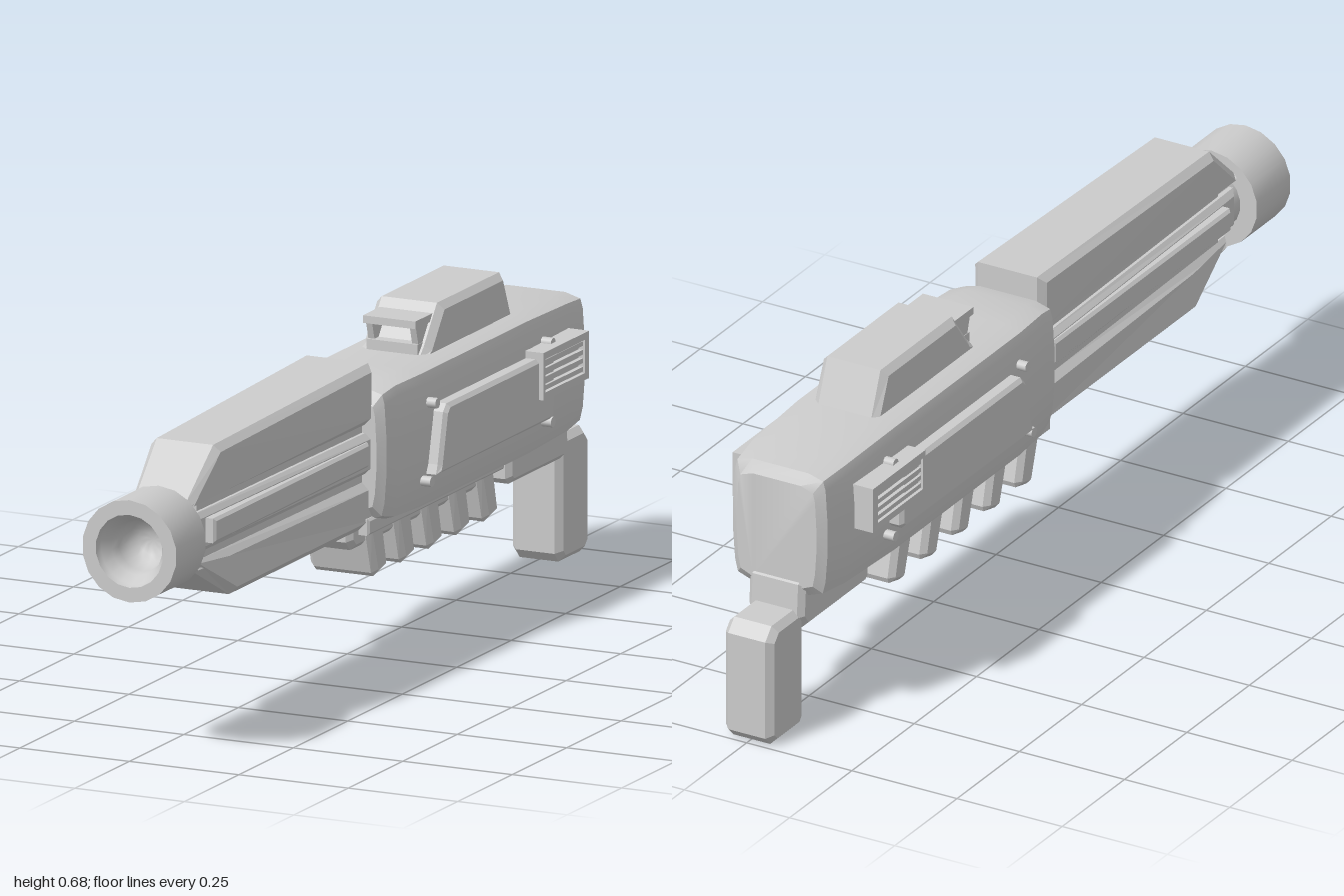
import * as THREE from 'three';
import { toCreasedNormals } from 'three/addons/utils/BufferGeometryUtils.js';

const grey = new THREE.MeshStandardMaterial({ color: 0xcccccc });
grey.name = 'plain grey';

// Side profile of [z, y] points, extruded across x with chamfered cheeks
function slab(profile, half, bevel, hole) {
  const shape = new THREE.Shape(profile.map(([z, y]) => new THREE.Vector2(z, y)));
  if (hole) shape.holes.push(new THREE.Path(hole.map(([z, y]) => new THREE.Vector2(z, y))));
  const depth = 2 * (half - bevel);
  const geo = new THREE.ExtrudeGeometry(shape, {
    depth, bevelEnabled: bevel > 0, bevelThickness: bevel,
    bevelSize: bevel, bevelOffset: -bevel, bevelSegments: 1,
  });
  return geo.translate(0, 0, -depth / 2).rotateY(-Math.PI / 2);
}

const rect = (z0, z1, y0, y1) => [[z0, y0], [z1, y0], [z1, y1], [z0, y1]];

// Closed solid through equal-sized rings of [x, y], ordered from back to front
function loft(sections) {
  const pos = [], index = [], n = sections[0].ring.length;
  sections.forEach(({ z, ring }) => ring.forEach(([x, y]) => pos.push(x, y, z)));
  for (let s = 0; s < sections.length - 1; s++) {
    for (let i = 0; i < n; i++) {
      const a = s * n + i, b = s * n + (i + 1) % n;
      index.push(a, b, b + n, a, b + n, a + n);
    }
  }
  const last = (sections.length - 1) * n;
  for (let i = 1; i < n - 1; i++) index.push(0, i + 1, i, last, last + i, last + i + 1);
  const geo = new THREE.BufferGeometry();
  geo.setAttribute('position', new THREE.Float32BufferAttribute(pos, 3));
  geo.setIndex(index);
  return toCreasedNormals(geo, 0.5);
}

// Narrow a barrel piece toward the muzzle
function narrow(geo) {
  const p = geo.attributes.position;
  for (let i = 0; i < p.count; i++) {
    const t = THREE.MathUtils.clamp((p.getZ(i) - 0.7) / 0.1, 0, 1);
    p.setX(i, p.getX(i) * (1 - 0.18 * t));
  }
  geo.computeVertexNormals();
  return geo;
}

export function createModel() {
  const model = new THREE.Group();
  model.name = 'blaster';
  const add = (name, geo, x = 0, parent = model) => {
    const mesh = new THREE.Mesh(geo, grey);
    mesh.name = name;
    mesh.position.x = x;
    parent.add(mesh);
    return mesh;
  };

  // Receiver: bulging cross-section with pinched ends
  const receiver = [
    [-0.88, 0.095, 0.315, 0.55], [-0.865, 0.112, 0.297, 0.575], [-0.79, 0.122, 0.292, 0.583],
    [-0.6, 0.128, 0.288, 0.59], [-0.1, 0.128, 0.288, 0.59], [0, 0.12, 0.29, 0.588],
    [0.045, 0.112, 0.3, 0.578], [0.062, 0.098, 0.322, 0.555],
  ].map(([z, w, y0, y1]) => {
    const right = [[0.6, y0], [0.9, y0 + 0.012], [0.96, y0 + 0.04], [1, y0 + 0.1],
      [1, y1 - 0.1], [0.96, y1 - 0.03], [0.91, y1 - 0.01], [0.6, y1]].map(([k, y]) => [k * w, y]);
    return { z, ring: [...right, ...right.map(([x, y]) => [-x, y]).reverse()] };
  });
  add('receiver', loft(receiver));

  // Barrel shrouds and inner barrel
  add('upperShroud', narrow(slab(
    [[0.045, 0.505], [0.865, 0.505], [0.855, 0.52], [0.745, 0.617], [0.045, 0.632]], 0.085, 0.015)));
  add('lowerShroud', narrow(slab(
    [[0.03, 0.385], [0.03, 0.285], [0.67, 0.285], [0.83, 0.372], [0.83, 0.385]], 0.08, 0.017)));
  add('innerBarrel', new THREE.CylinderGeometry(0.068, 0.068, 0.88, 18)
    .rotateX(Math.PI / 2).translate(0, 0.443, 0.44));
  add('barrelCore', narrow(slab(rect(0.03, 0.8, 0.37, 0.52), 0.065, 0)));
  add('middleRail', narrow(slab(rect(0.03, 0.85, 0.402, 0.488), 0.084, 0.012)));
  add('railInset', slab(rect(0.08, 0.79, 0.422, 0.474), 0.092, 0.006));

  // Hollow muzzle with a rounded bore end
  const bore = [[0, 0.865], [0.108, 0.865], [0.108, 1], [0.077, 1], [0.073, 0.985], [0.058, 0.965], [0.055, 0.94],
    [0.052, 0.925], [0.044, 0.908], [0.031, 0.896], [0.016, 0.89], [0, 0.888]];
  add('muzzle', toCreasedNormals(new THREE.LatheGeometry(
    bore.map(([r, z]) => new THREE.Vector2(r, z)), 18).rotateX(Math.PI / 2).translate(0, 0.443, 0), 0.7));

  // Sight block with a small hooded window
  add('sightBlock', slab(
    [[-0.2, 0.58], [-0.225, 0.605], [-0.285, 0.683], [-0.57, 0.683], [-0.61, 0.58]], 0.077, 0.014));
  const sight = new THREE.Group();
  sight.name = 'sightHood';
  model.add(sight);
  add('hoodTop', slab(rect(-0.29, -0.192, 0.648, 0.664), 0.06, 0), 0, sight);
  add('hoodBase', slab(rect(-0.28, -0.205, 0.58, 0.612), 0.058, 0), 0, sight);
  for (const s of [-1, 1]) {
    add('hoodSide', slab([[-0.28, 0.6], [-0.215, 0.6], [-0.2, 0.65], [-0.28, 0.65]], 0.007, 0), s * 0.05, sight);
  }

  // Side panels, bolts and vents, mirrored
  for (const s of [-1, 1]) {
    const side = new THREE.Group();
    side.name = s > 0 ? 'leftSide' : 'rightSide';
    model.add(side);
    add('sidePanel', slab([[-0.108, 0.37], [-0.115, 0.39], [-0.14, 0.495], [-0.155, 0.51],
      [-0.63, 0.51], [-0.64, 0.5], [-0.64, 0.38], [-0.63, 0.37]], 0.022, 0.008), s * 0.135, side);
    for (const [z, y] of [[-0.12, 0.518], [-0.095, 0.358], [-0.65, 0.358], [-0.65, 0.525]]) {
      add('bolt', new THREE.CylinderGeometry(0.011, 0.011, 0.05, 10)
        .rotateZ(Math.PI / 2).translate(0, y, z), s * 0.122, side);
    }
    add('ventFrame', slab(rect(-0.775, -0.565, 0.425, 0.525), 0.026, 0,
      rect(-0.755, -0.575, 0.44, 0.51)), s * 0.141, side);
    add('ventBack', slab(rect(-0.76, -0.57, 0.435, 0.515), 0.018, 0), s * 0.135, side);
    for (let i = 0; i < 4; i++) {
      const y = 0.448 + i * 0.018;
      add('ventSlat', slab(rect(-0.757, -0.573, y - 0.005, y + 0.005), 0.01, 0), s * 0.153, side);
    }
  }

  // Ribbed fore grip under the receiver
  add('gripRail', slab([[0.11, 0.3], [0.11, 0.265], [0.09, 0.245], [-0.53, 0.245], [-0.56, 0.3]], 0.063, 0.012));
  add('gripRailLip', slab(rect(-0.55, 0.075, 0.275, 0.31), 0.087, 0.005));
  for (let i = 0; i < 5; i++) {
    const z = -0.127 * i;
    add('gripRib', slab([[z + 0.056, 0.3], [z + 0.022, 0.183], [z + 0.012, 0.174], [z - 0.032, 0.184],
      [z - 0.037, 0.196], [z - 0.012, 0.3]], 0.077, 0.012));
  }

  // Rear bracket and hand grip
  add('rearBracket', slab([[-0.615, 0.31], [-0.615, 0.235], [-0.63, 0.222], [-0.87, 0.222],
    [-0.89, 0.25], [-0.885, 0.325], [-0.86, 0.34]], 0.066, 0.012));
  add('handGrip', slab([[-0.863, 0.02], [-0.88, 0], [-0.98, 0], [-1, 0.02],
    [-1, 0.24], [-0.975, 0.267], [-0.885, 0.267], [-0.863, 0.25]], 0.058, 0.014));

  return model;
}
